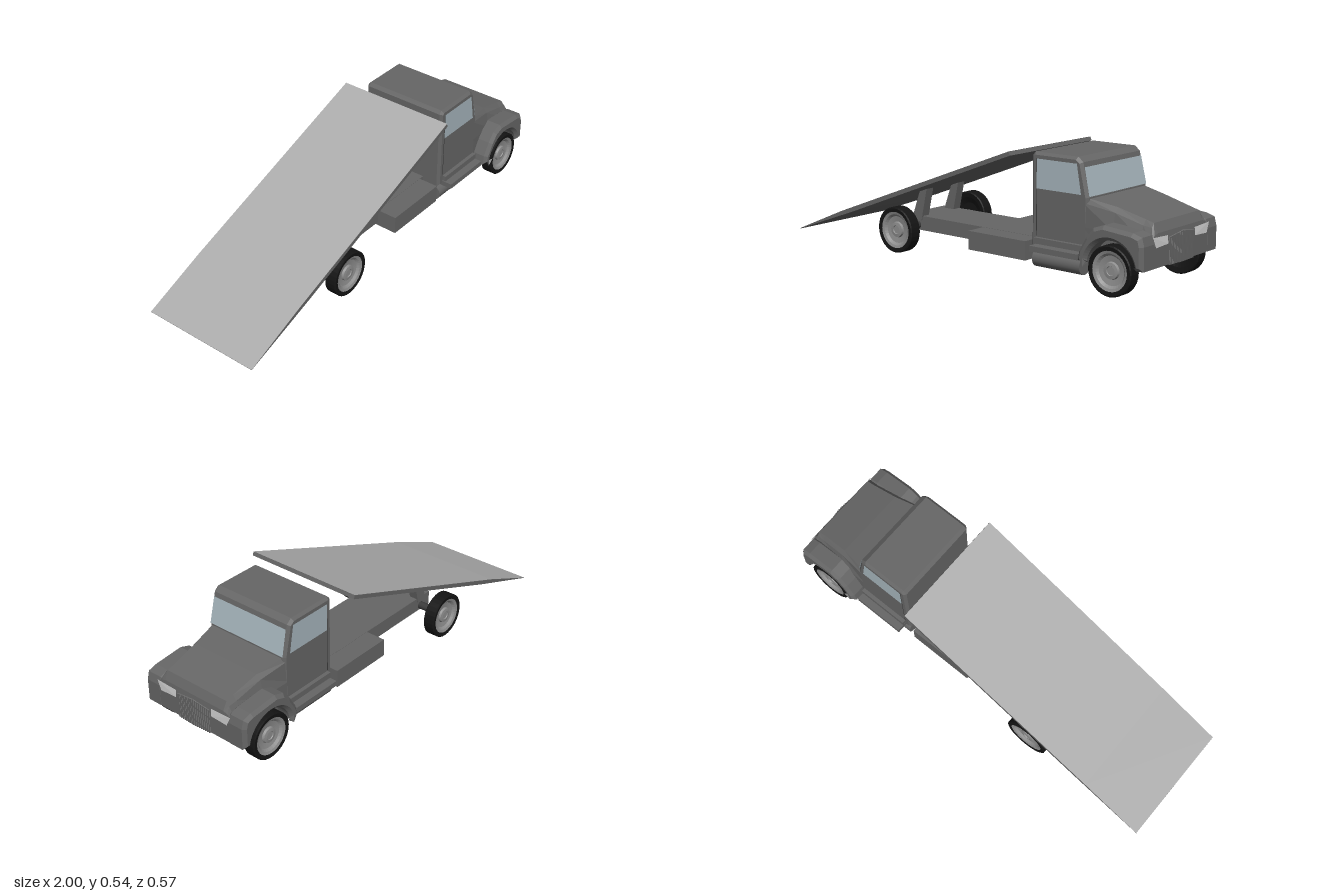
import * as THREE from 'three';

const mat = (color, extra = {}) => new THREE.MeshStandardMaterial({ color, ...extra });
const paint = mat(0x666666, { flatShading: true });
const smoothPaint = mat(0x666666);
const pale = mat(0xacacac, { side: THREE.DoubleSide });
const glass = mat(0xa6b5bc, { side: THREE.DoubleSide });
const lamp = mat(0xececec, { side: THREE.DoubleSide });
const rubber = mat(0x141414, { side: THREE.DoubleSide, flatShading: true });
const rim = mat(0x8e8e8e, { side: THREE.DoubleSide, flatShading: true });
const dark = mat(0x3c3c3c);

export function createModel() {
  const truck = new THREE.Group();

  const add = (name, geo, material = paint) => {
    const mesh = new THREE.Mesh(geo, material);
    mesh.name = name;
    truck.add(mesh);
    return mesh;
  };
  // box given by its extents
  const box = (name, x0, x1, y0, y1, z0, z1, material) =>
    add(name, new THREE.BoxGeometry(x1 - x0, y1 - y0, z1 - z0), material)
      .position.set((x0 + x1) / 2, (y0 + y1) / 2, (z0 + z1) / 2);
  const shapeOf = (pts) => new THREE.Shape(pts.map(([x, y]) => new THREE.Vector2(x, y)));
  // side profile pushed from z0 to z1, with an optional inset bevel
  const slab = (name, shape, z0, z1, bevel = 0) => {
    const geo = new THREE.ExtrudeGeometry(shape, {
      depth: z1 - z0 - 2 * bevel, bevelEnabled: bevel > 0, bevelSegments: 1,
      bevelSize: bevel, bevelThickness: bevel, bevelOffset: -bevel, curveSegments: 14,
    });
    geo.translate(0, 0, z0 + bevel);
    return add(name, geo);
  };
  const fromCorners = (v) => {
    const geo = new THREE.BufferGeometry();
    geo.setAttribute('position', new THREE.Float32BufferAttribute(v, 3));
    geo.computeVertexNormals();
    return geo;
  };
  // flat fan of 3D corners
  const panel = (name, pts, material) => {
    const v = [];
    for (let i = 1; i < pts.length - 1; i++) v.push(...pts[0], ...pts[i], ...pts[i + 1]);
    return add(name, fromCorners(v), material);
  };
  // closed skin through equal-length rings of points
  const loft = (name, rings) => {
    const v = [], n = rings[0].length;
    for (let r = 0; r < rings.length - 1; r++)
      for (let i = 0; i < n; i++) {
        const a = rings[r][i], b = rings[r][(i + 1) % n];
        const c = rings[r + 1][(i + 1) % n], d = rings[r + 1][i];
        v.push(...a, ...b, ...c, ...a, ...c, ...d);
      }
    const first = rings[0], last = rings[rings.length - 1];
    for (let i = 1; i < n - 1; i++) {
      v.push(...first[0], ...first[i + 1], ...first[i]);
      v.push(...last[0], ...last[i], ...last[i + 1]);
    }
    return add(name, fromCorners(v));
  };

  // tilted flat bed with a wedge-shaped tail
  slab('bed', shapeOf([[-1, 0.022], [-0.62, 0.158], [0.328, 0.519], [0.322, 0.535], [-0.7, 0.148]]), -0.287, 0.287);
  panel('bedDeck', [[-1, 0.024, 0.287], [-0.7, 0.1495, 0.287], [-0.7, 0.1495, -0.287], [-1, 0.024, -0.287]], pale);
  panel('bedDeck', [[-0.7, 0.1495, 0.287], [0.322, 0.5365, 0.287], [0.322, 0.5365, -0.287], [-0.7, 0.1495, -0.287]], pale);

  // chassis
  box('frame', -0.42, 0.74, 0.083, 0.15, -0.125, 0.125);
  box('sideBoxes', 0.04, 0.36, 0.065, 0.149, -0.222, 0.222);
  add('rearAxle', new THREE.CylinderGeometry(0.018, 0.018, 0.46, 12).rotateX(Math.PI / 2), dark)
    .position.set(-0.355, 0.106, 0);

  // cab
  slab('cab', shapeOf([[0.385, 0.125], [0.385, 0.52], [0.4, 0.535], [0.62, 0.535],
    [0.645, 0.515], [0.678, 0.372], [0.678, 0.125]]), -0.214, 0.214, 0.012);
  const slant = (y) => 0.645 + (0.515 - y) * 0.033 / 0.143 + 0.0025;
  panel('windshield', [[slant(0.376), 0.376, 0.205], [slant(0.376), 0.376, -0.205],
    [slant(0.495), 0.495, -0.202], [slant(0.495), 0.495, 0.202]], glass);

  // hood and nose: half sections of [z, y], mirrored
  const sections = [
    [0.655, [[0.213, 0.125], [0.214, 0.25], [0.212, 0.35], [0.2, 0.372]]],
    [0.8, [[0.205, 0.125], [0.21, 0.25], [0.193, 0.325], [0.175, 0.346]]],
    [0.93, [[0.205, 0.125], [0.205, 0.24], [0.184, 0.29], [0.168, 0.313]]],
    [0.968, [[0.205, 0.125], [0.204, 0.24], [0.182, 0.285], [0.168, 0.303]]],
    [0.986, [[0.205, 0.125], [0.204, 0.24], [0.19, 0.256], [0.165, 0.264]]],
    [0.991, [[0.205, 0.125], [0.204, 0.21], [0.19, 0.225], [0.165, 0.23]]],
  ];
  loft('hood', sections.map(([x, half]) => [
    ...half.map(([z, y]) => [x, y, -z]),
    ...[...half].reverse().map(([z, y]) => [x, y, z]),
  ]));

  // pointed grille with upright slats
  for (const s of [1, -1])
    panel('grille', [[0.992, 0.122, s * 0.09], [0.996, 0.122, 0], [0.996, 0.252, 0], [0.992, 0.238, s * 0.09]], rim);
  for (let i = -8; i <= 8; i++) {
    const t = Math.abs(i) / 8, x = 0.9965 - 0.004 * t;
    box('grilleSlat', x - 0.003, x + 0.003, 0.122, 0.25 - 0.013 * t, i * 0.0107 - 0.0025, i * 0.0107 + 0.0025, paint);
  }

  // tyre and hub outlines as [radius, offset along the axle]
  const turned = (pts) => new THREE.LatheGeometry(pts.map(([r, h]) => new THREE.Vector2(r, h)), 32).rotateX(Math.PI / 2);
  const wheelParts = [
    ['tyre', rubber, turned([[0.078, -0.024], [0.1, -0.0285], [0.1055, -0.025], [0.1055, 0.025], [0.1, 0.0285], [0.084, 0.026]])],
    ['hub', rim, turned([[0, 0.016], [0.018, 0.016], [0.02, 0.02], [0.034, 0.018], [0.037, 0.008],
      [0.062, 0.012], [0.072, 0.022], [0.085, 0.026]])],
    ['innerRim', rubber, turned([[0, -0.012], [0.05, -0.012], [0.078, -0.024]])],
  ];
  for (const x of [-0.355, 0.835])
    for (const s of [1, -1]) {
      const wheel = new THREE.Group();
      wheel.name = 'wheel';
      for (const [name, material, geo] of wheelParts) {
        const part = new THREE.Mesh(geo, material);
        part.name = name;
        wheel.add(part);
      }
      wheel.position.set(x, 0.1055, s * 0.251);
      if (s < 0) wheel.rotation.y = Math.PI;
      truck.add(wheel);
    }

  // fender outline with a round wheel arch
  const fender = shapeOf([[0.955, 0.125], [0.992, 0.125], [0.992, 0.225], [0.982, 0.262], [0.94, 0.275],
    [0.8, 0.287], [0.75, 0.27], [0.715, 0.228], [0.68, 0.168], [0.672, 0.125], [0.717, 0.125]]);
  fender.absarc(0.835, 0.11, 0.119, Math.PI - 0.126, 0.126, true);

  // parts on both sides
  for (const s of [1, -1]) {
    const span = (a, b) => (s > 0 ? [a, b] : [-b, -a]);
    slab('fender', fender, ...span(0.185, 0.284), 0.015);
    slab('bedSupport', shapeOf([[-0.39, 0.13], [-0.33, 0.13], [-0.295, 0.286], [-0.338, 0.27]]), ...span(0.085, 0.13));
    box('step', 0.415, 0.665, 0.122, 0.146, ...span(0.2, 0.265));
    box('doorSill', 0.415, 0.665, 0.15, 0.176, ...span(0.2, 0.232));
    box('doorSeam', 0.413, 0.416, 0.18, 0.51, ...span(0.21, 0.2147), dark);
    add('fuelTank', new THREE.CylinderGeometry(0.039, 0.039, 0.248, 24).rotateZ(Math.PI / 2), smoothPaint)
      .position.set(0.517, 0.079, s * 0.178);
    const z = s * 0.2152;
    panel('sideWindow', [[0.415, 0.382, z], [0.645, 0.382, z], [0.622, 0.508, z], [0.415, 0.508, z]], glass);
    panel('headlight', [[0.994, 0.212, s * 0.1], [0.994, 0.208, s * 0.188], [0.992, 0.252, s * 0.208],
      [0.99, 0.246, s * 0.1]], lamp);
  }
  return truck;
}
